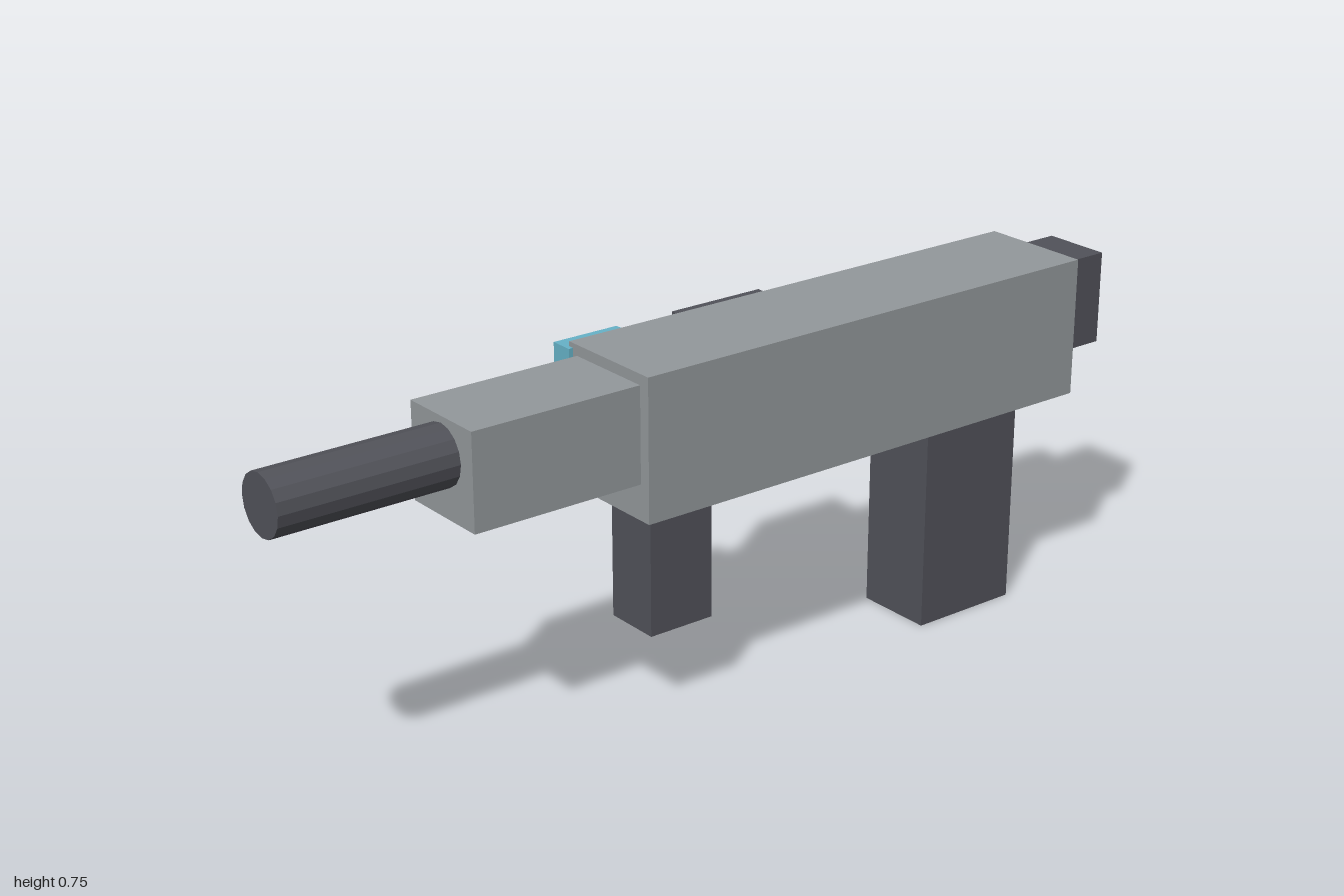
import * as THREE from 'three';

export function createModel() {
  const model = new THREE.Group();
  model.name = 'blaster';

  const paint = (name, color) => {
    const m = new THREE.MeshStandardMaterial({ color });
    m.name = name;
    return m;
  };
  const grey = paint('steel grey', 0x93989b);
  const dark = paint('dark grey', 0x515259);
  const blue = paint('sight blue', 0x66b2c7);
  dark.flatShading = true;

  // Box given by its extents along each axis
  const box = (name, material, [x0, x1], [y0, y1], [z0, z1]) => {
    const mesh = new THREE.Mesh(new THREE.BoxGeometry(x1 - x0, y1 - y0, z1 - z0), material);
    mesh.position.set((x0 + x1) / 2, (y0 + y1) / 2, (z0 + z1) / 2);
    mesh.name = name;
    model.add(mesh);
  };

  // Receiver and front housing
  box('body', grey, [-0.075, 0.175], [0.4525, 0.75], [-0.875, 0.25]);
  box('frontHousing', grey, [-0.05, 0.15], [0.5275, 0.7275], [0.25, 0.625]);

  // Rear block, grips and side magazine
  box('rearBlock', dark, [-0.025, 0.125], [0.5275, 0.7275], [-1, -0.875]);
  box('rearGrip', dark, [-0.0375, 0.1375], [0, 0.4525], [-0.75, -0.5]);
  box('frontGrip', dark, [-0.0125, 0.1125], [0.1775, 0.4525], [0.05, 0.2]);
  box('sideMagazine', dark, [-0.175, -0.075], [0.34, 0.7125], [-0.3, -0.075]);

  // Side sight
  box('sideSight', blue, [-0.1125, -0.0625], [0.665, 0.74], [0.11, 0.26]);

  // Barrel
  const barrelGeometry = new THREE.CylinderGeometry(0.0625, 0.0625, 0.375, 16);
  barrelGeometry.rotateX(Math.PI / 2);
  const barrel = new THREE.Mesh(barrelGeometry, dark);
  barrel.position.set(0.05, 0.6515, 0.8125);
  barrel.name = 'barrel';
  model.add(barrel);

  return model;
}
